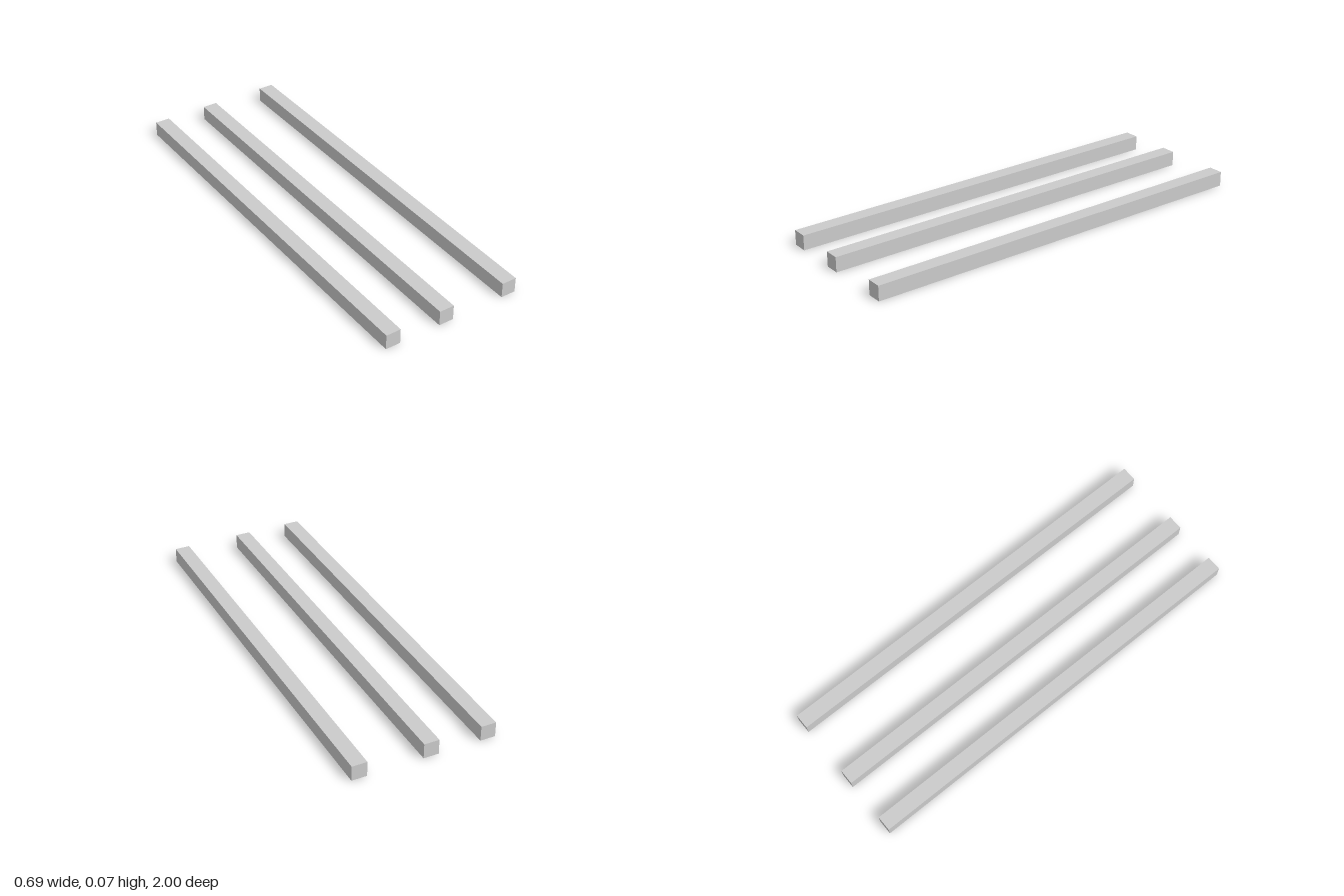
import * as THREE from 'three';

export function createModel() {
  const model = new THREE.Group();
  model.name = 'parallelBeams';

  const thickness = 0.073;
  const length = 2;
  const geometry = new THREE.BoxGeometry(thickness, thickness, length);
  const material = new THREE.MeshStandardMaterial({ color: 0xcccccc, flatShading: true });

  // Three square beams lying front to back; the middle one sits off-centre
  const beams = { rightBeam: -0.309, middleBeam: -0.031, leftBeam: 0.309 };
  for (const [name, x] of Object.entries(beams)) {
    const beam = new THREE.Mesh(geometry, material);
    beam.name = name;
    beam.position.set(x, thickness / 2, 0);
    model.add(beam);
  }

  return model;
}
